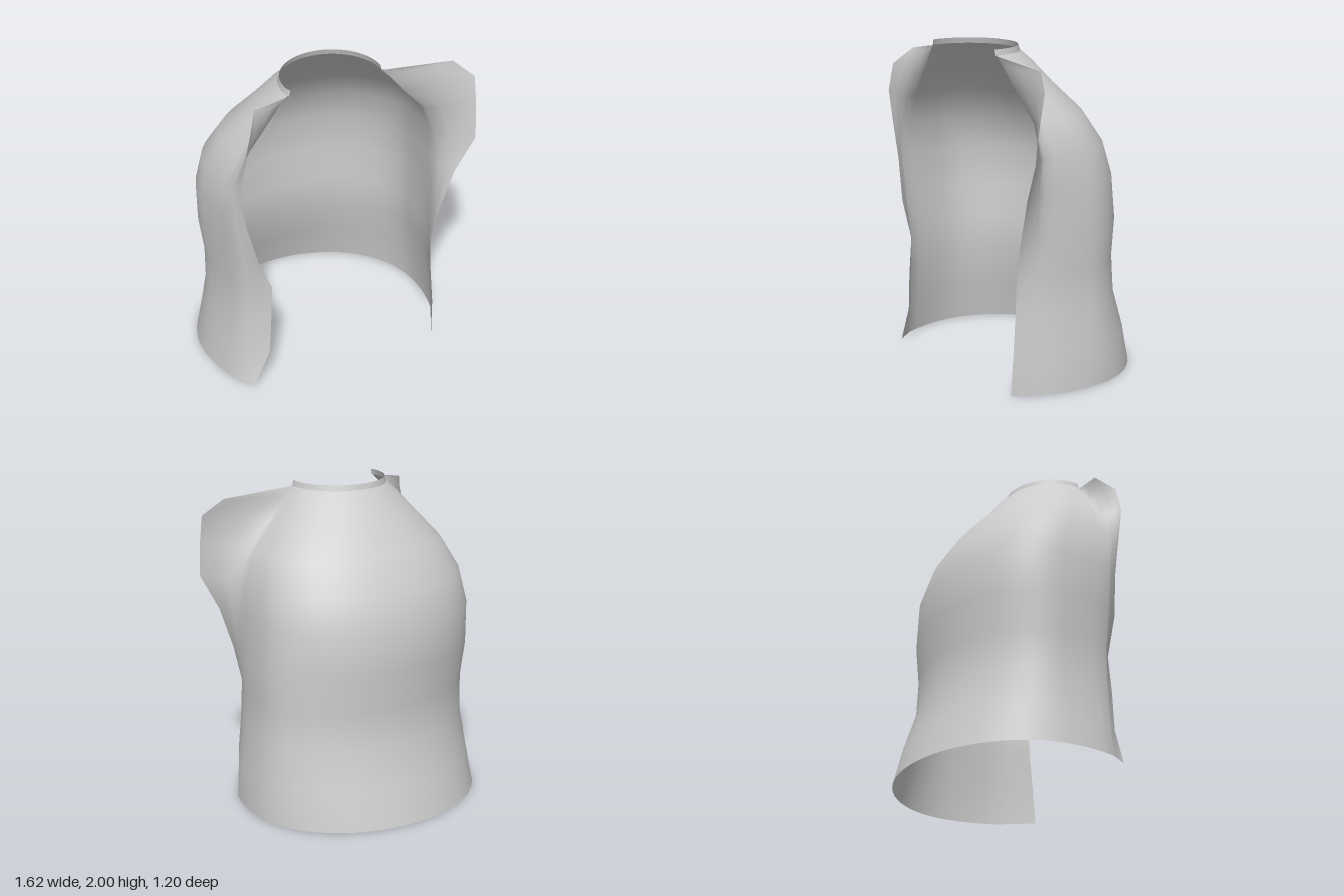
import * as THREE from 'three';

// Each level: height, back depth, then for the right and left side:
// [body side x, free front edge x, free front edge z]
const levels = [
  [0, -0.595, [-0.81, -0.67, 0.49], [0.76, 0.57, 0.59]],
  [0.24, -0.525, [-0.775, -0.57, 0.5], [0.745, 0.575, 0.575]],
  [0.48, -0.445, [-0.745, -0.555, 0.5], [0.7, 0.565, 0.55]],
  [0.72, -0.435, [-0.745, -0.54, 0.49], [0.685, 0.56, 0.535]],
  [0.95, -0.46, [-0.775, -0.63, 0.49], [0.695, 0.61, 0.545]],
  [1.21, -0.455, [-0.778, -0.69, 0.47], [0.665, 0.69, 0.565]],
  [1.42, -0.38, [-0.755, -0.725, 0.48], [0.645, 0.8, 0.6]],
  [1.61, -0.255, [-0.67, -0.71, 0.52], [0.56, 0.805, 0.575]],
  [1.77, -0.105, [-0.545, -0.67, 0.51], [0.41, 0.805, 0.54]],
  [1.9, 0, [-0.445, -0.59, 0.41], [0.3, 0.69, 0.47]],
  [1.965, 0.07, [-0.385, -0.375, 0.42], [0.235, 0.23, 0.42]],
];

// Front panel points running from beside the body, past the fold, to the free edge
function panelPoints(y, zc, rise, [sideX, edgeX, edgeZ]) {
  const foldX = sideX * THREE.MathUtils.lerp(0.93, 0.99, THREE.MathUtils.smoothstep(y, 0.9, 1.45));
  const foldZ = 0.37 + 0.02 * y;
  const fold = new THREE.Vector3(foldX, y, foldZ);
  const edgeY = y + 0.06 * Math.sin(Math.PI * rise * rise);
  const edge = new THREE.Vector3(edgeX, edgeY, edgeZ);
  const side = new THREE.QuadraticBezierCurve3(
    new THREE.Vector3(sideX, y, zc),
    new THREE.Vector3(sideX, y, (zc + foldZ) / 2),
    fold);
  const points = side.getPoints(4).slice(1);
  for (let i = 1; i <= 3; i++) points.push(fold.clone().lerp(edge, i / 3));
  return points;
}

// One open cross-section: right edge, round the back, to the left edge
function section([y, back, right, left]) {
  // Above the chest the centre of the back arc moves forward to the neck
  const rise = THREE.MathUtils.clamp((y - 1.21) / 0.755, 0, 1);
  const zc = 0.06 + 0.31 * rise ** 1.5;
  const cx = (right[0] + left[0]) / 2, rx = (left[0] - right[0]) / 2, rz = zc - back;
  const arc = [];
  for (let i = 0; i <= 32; i++) {
    const a = Math.PI * (1 - i / 32);
    arc.push(new THREE.Vector3(cx + rx * Math.cos(a), y, zc - rz * Math.sin(a)));
  }
  return [
    ...panelPoints(y, zc, rise, right).reverse(),
    ...arc,
    ...panelPoints(y, zc, rise, left),
  ];
}

// Skin the cross-sections into one open sheet
function loft(sections) {
  const n = sections[0].length, indices = [];
  for (let j = 0; j < sections.length - 1; j++) {
    for (let i = 0; i < n - 1; i++) {
      const a = j * n + i, b = a + 1, c = a + n, d = c + 1;
      indices.push(a, c, b, b, c, d);
    }
  }
  const geometry = new THREE.BufferGeometry().setFromPoints(sections.flat());
  geometry.setIndex(indices);
  geometry.computeVertexNormals();
  return geometry;
}

export function createModel() {
  const group = new THREE.Group();
  group.name = 'openVest';
  const cloth = new THREE.MeshStandardMaterial({ color: 0xcccccc, side: THREE.DoubleSide });
  cloth.name = 'light grey cloth';

  // Body with flared front panels
  const sections = levels.map(section);
  const body = new THREE.Mesh(loft(sections), cloth);
  body.name = 'vestBody';

  // Short upright neck band, drawn in slightly at the rim
  const base = sections[sections.length - 1];
  const rim = base.map((p) => new THREE.Vector3(-0.08 + (p.x + 0.08) * 0.97, 2, 0.42 + (p.z - 0.42) * 0.97));
  const neck = new THREE.Mesh(loft([base, rim]), cloth);
  neck.name = 'neckBand';

  group.add(body, neck);
  return group;
}
